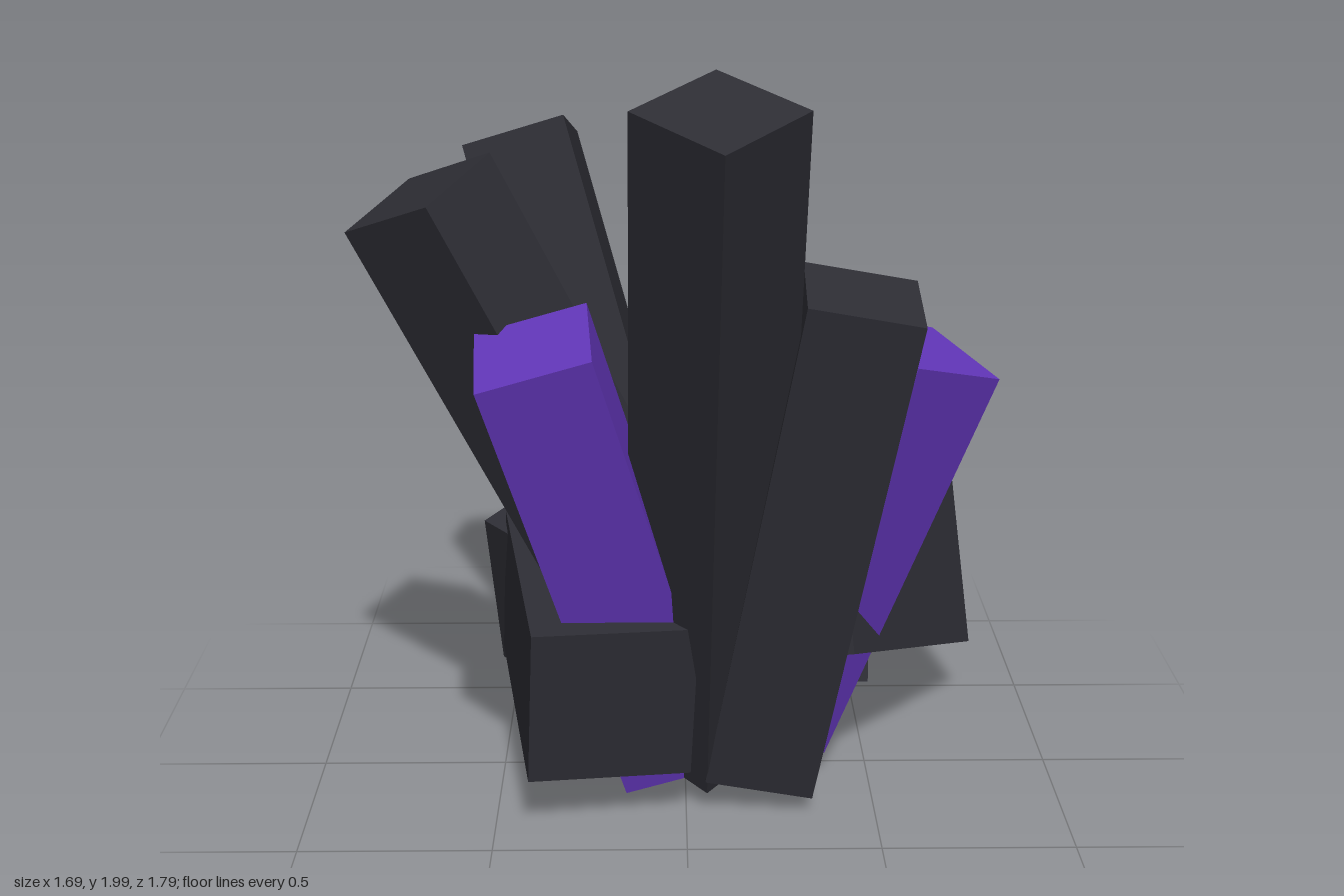
import * as THREE from 'three';

const V = (a) => new THREE.Vector3(...a);

export function createModel() {
  const group = new THREE.Group();
  const darkStone = new THREE.MeshStandardMaterial({ color: 0x2d2d34 });
  const purpleCrystal = new THREE.MeshStandardMaterial({ color: 0x6236b8 });
  darkStone.name = 'darkStone';
  purpleCrystal.name = 'purpleCrystal';

  // A box of the given size, turned so its x and y axes follow two directions
  function block(name, center, size, xDir, yDir, material) {
    const y = yDir.clone().normalize();
    const x = xDir.clone().addScaledVector(y, -xDir.dot(y)).normalize();
    const z = new THREE.Vector3().crossVectors(x, y);
    const mesh = new THREE.Mesh(new THREE.BoxGeometry(...size), material);
    mesh.quaternion.setFromRotationMatrix(new THREE.Matrix4().makeBasis(x, y, z));
    mesh.position.copy(center);
    mesh.name = name;
    group.add(mesh);
  }

  // Square prism from base centre to top centre; side is the plan direction of one top edge
  function crystal(name, base, top, width, side, material) {
    const b = V(base), t = V(top);
    const axis = t.clone().sub(b);
    const xDir = new THREE.Vector3(side[0], -(side[0] * axis.x + side[1] * axis.z) / axis.y, side[1]);
    block(name, b.clone().add(t).multiplyScalar(0.5), [width, axis.length(), width], xDir, axis, material);
  }

  // Boulder given by one corner and its three edges
  function boulder(name, corner, e1, e2, e3) {
    const [a, b, c] = [e1, e2, e3].map(V);
    const center = V(corner).addScaledVector(a, 0.5).addScaledVector(b, 0.5).addScaledVector(c, 0.5);
    block(name, center, [a.length(), b.length(), c.length()], a, b, darkStone);
  }

  // Dark crystals
  crystal('tallFrontCrystal', [0.05, 0.125, 0.10], [0.07, 1.935, 0.70], 0.29, [1, -1], darkStone);
  crystal('frontLeftCrystal', [0.195, 0.10, 0.17], [0.427, 1.445, 0.40], 0.287, [1, 0], darkStone);
  crystal('rightCrystal', [0.08, 0.15, 0.03], [-0.667, 1.65, 0.165], 0.29, [0.224, 0.164], darkStone);
  crystal('backRightCrystal', [0.01, 0.12, 0.02], [-0.453, 1.665, -0.54], 0.29, [1, 0], darkStone);
  crystal('backLeftStub', [0.35, 0.20, -0.15], [0.365, 1.025, -0.40], 0.285, [1, -0.1], darkStone);

  // Purple crystals
  crystal('purpleFrontCrystal', [-0.03, 0.11, 0.10], [-0.375, 1.325, 0.44], 0.29, [1, 0], purpleCrystal);
  crystal('purpleLeftCrystal', [0.195, 0.15, 0.05], [0.615, 1.24, 0.137], 0.288, [0.148, 0.243], purpleCrystal);
  crystal('purpleBackCrystal', [0.05, 0.13, -0.095], [0.124, 1.59, -0.565], 0.288, [0.176, 0.219], purpleCrystal);

  // Boulders around the foot
  boulder('largeBackBoulder', [0.84, 0.20, -0.39], [-0.40, 0.245, 0.66], [-0.04, 0.44, -0.19], [-0.635, -0.19, -0.31]);
  boulder('frontBoulder', [-0.405, 0.155, 0.41], [0.42, -0.02, -0.07], [0.02, 0.43, 0.06], [-0.115, 0.108, -0.66]);
  boulder('rearBoulder', [-0.05, 0.86, -0.70], [-0.505, -0.215, 0.50], [0.03, -0.48, -0.16], [0.33, -0.08, 0.30]);
  boulder('lowRearBoulder', [-0.02, 0.06, -0.77], [-0.42, -0.02, 0.30], [-0.10, 0.44, -0.09], [0.28, 0.14, 0.39]);

  return group;
}
